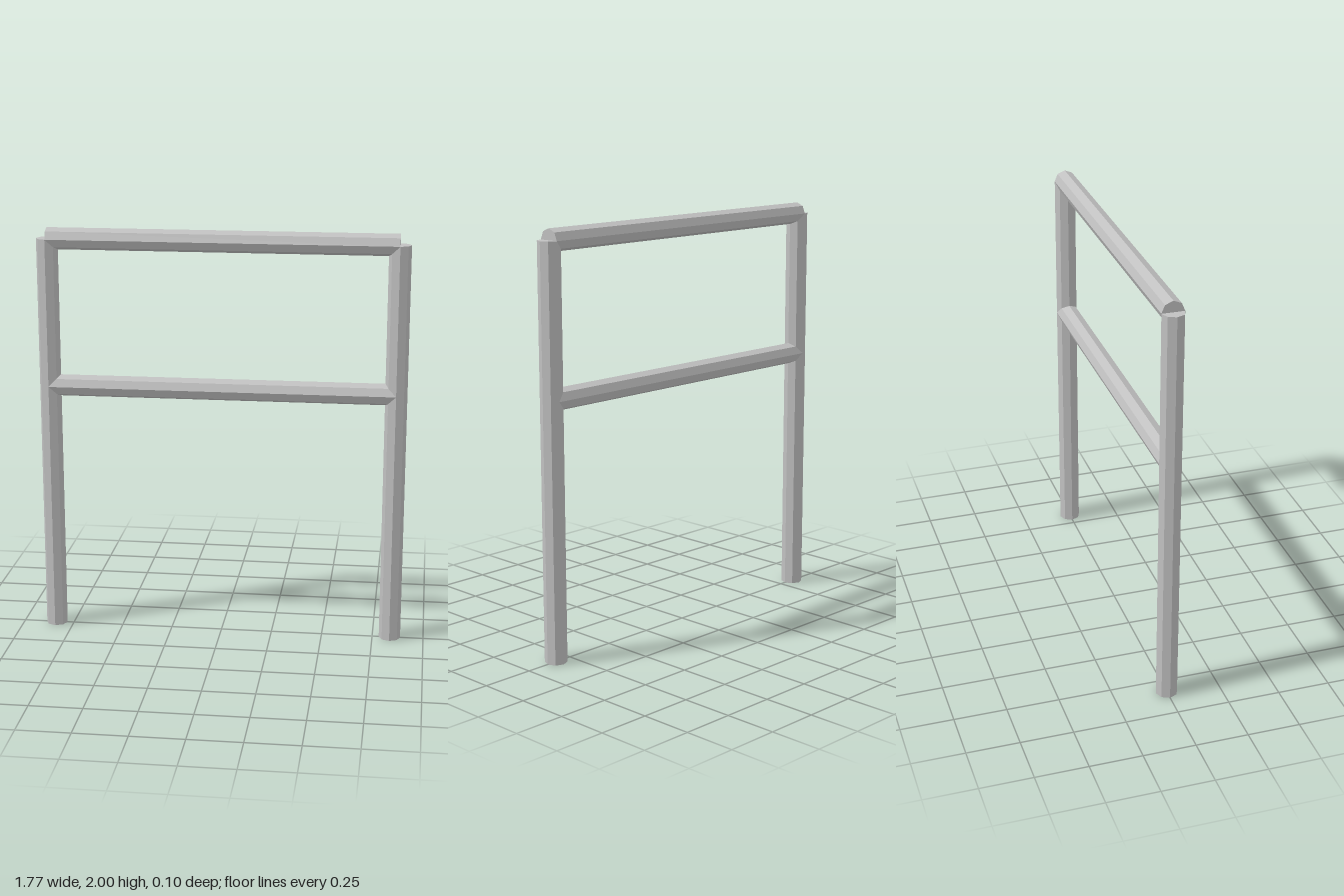
import * as THREE from 'three';

export function createModel() {
  const model = new THREE.Group();
  model.name = 'railing';
  const metal = new THREE.MeshStandardMaterial({ color: 0xc0c0c0, flatShading: true });
  metal.name = 'grey metal';

  const radius = 0.0525, postX = 0.835, topY = 2 - radius;

  // eight-sided bar with closed ends
  const bar = (name, length) => {
    const mesh = new THREE.Mesh(new THREE.CylinderGeometry(radius, radius, length, 8), metal);
    mesh.name = name;
    model.add(mesh);
    return mesh;
  };

  // upright posts, ending at the centre line of the top rail
  for (const [name, side] of [['leftPost', 1], ['rightPost', -1]]) {
    bar(name, topY).position.set(side * postX, topY / 2, 0);
  }

  // horizontal rails, running between the post centre lines
  for (const [name, y] of [['topRail', topY], ['middleRail', 1.233]]) {
    const rail = bar(name, postX * 2);
    rail.rotation.z = Math.PI / 2;
    rail.position.y = y;
  }
  return model;
}
